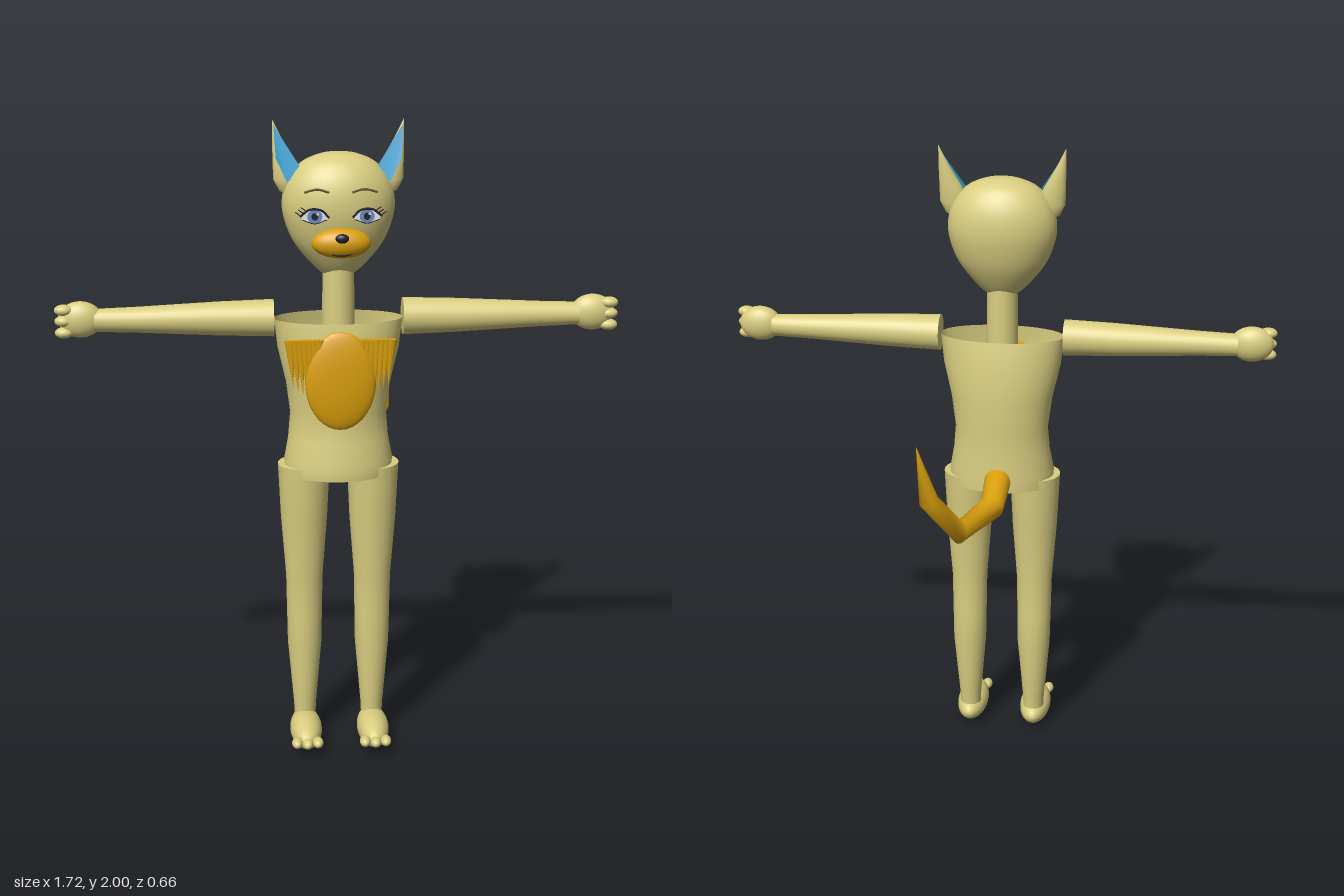
import * as THREE from 'three';

const V = (x, y, z) => new THREE.Vector3(x, y, z);
const paint = (name, color, double) => {
  const m = new THREE.MeshStandardMaterial({ color });
  m.name = name;
  if (double) m.side = THREE.DoubleSide;
  return m;
};

// Smooth skin through rings [centre, a, b], running along a x b
function loft(rings, caps = false, n = 28) {
  const pos = [], idx = [];
  const addRing = ([c, a, b]) => {
    for (let j = 0; j < n; j++) {
      const t = (j / n) * Math.PI * 2;
      const p = c.clone().addScaledVector(a, Math.cos(t)).addScaledVector(b, Math.sin(t));
      pos.push(p.x, p.y, p.z);
    }
  };
  rings.forEach(addRing);
  for (let i = 0; i < rings.length - 1; i++) {
    for (let j = 0; j < n; j++) {
      const k = (j + 1) % n, p = i * n, q = p + n;
      idx.push(p + j, p + k, q + k, p + j, q + k, q + j);
    }
  }
  if (caps) {
    [rings[0], rings[rings.length - 1]].forEach((r, e) => {
      const s = pos.length / 3;
      addRing(r);
      for (let j = 1; j < n - 1; j++) idx.push(s, s + (e ? j : j + 1), s + (e ? j + 1 : j));
    });
  }
  const g = new THREE.BufferGeometry();
  g.setAttribute('position', new THREE.Float32BufferAttribute(pos, 3));
  g.setIndex(idx);
  g.computeVertexNormals();
  return g;
}

// Upright ring: centre x, y, z and half widths in x and z
const level = (x, y, z, rx, rz) => [V(x, y, z), V(0, 0, rz), V(rx, 0, 0)];

export function createModel() {
  const model = new THREE.Group();
  model.name = 'standingFox';
  const tan = paint('tanFur', 0xd9cd80, true);
  const gold = paint('goldFur', 0xdaa00c);
  const blue = paint('earBlue', 0x2fa0d4, true);
  const white = paint('eyeWhite', 0xf2f2f2, true);
  const iris = paint('irisBlue', 0x6f8cc4, true);
  const black = paint('darkInk', 0x22202a, true);
  const brown = paint('browBrown', 0x6a5a3c);

  const add = (name, geo, mat, parent = model) => {
    const m = new THREE.Mesh(geo, mat);
    m.name = name;
    parent.add(m);
    return m;
  };
  const ball = (name, mat, x, y, z, rx, ry, rz) => {
    const m = add(name, new THREE.SphereGeometry(1, 28, 18), mat);
    m.position.set(x, y, z);
    m.scale.set(rx, ry, rz);
    return m;
  };
  const disc = (name, mat, x, y, z, rx, ry) => {
    const m = add(name, new THREE.CircleGeometry(1, 24), mat);
    m.position.set(x, y, z);
    m.scale.set(rx, ry, 1);
    return m;
  };
  const stroke = (name, mat, points, r) =>
    add(name, new THREE.TubeGeometry(new THREE.CatmullRomCurve3(points), 12, r, 6), mat);

  // Egg-shaped head
  const egg = new THREE.SplineCurve([[0, 1.53], [0.05, 1.54], [0.11, 1.6], [0.148, 1.66], [0.17, 1.74],
    [0.158, 1.815], [0.115, 1.872], [0.055, 1.9], [0, 1.906]].map(p => new THREE.Vector2(...p)));
  const profile = egg.getPoints(36).map(p => p.set(Math.max(p.x, 0), p.y));
  const head = add('head', new THREE.LatheGeometry(profile, 36), tan);
  head.scale.z = 0.69;
  head.position.z = 0.123;

  // Neck and torso, open at the shoulders
  add('neck', new THREE.CylinderGeometry(0.048, 0.05, 0.19, 28), tan).position.set(0, 1.465, 0.123);
  add('torso', loft([
    level(0, 0.905, 0.121, 0.166, 0.118), level(0, 0.95, 0.122, 0.169, 0.119),
    level(0, 1.02, 0.116, 0.156, 0.108), level(0, 1.1, 0.112, 0.149, 0.105),
    level(0, 1.2, 0.116, 0.162, 0.113), level(0, 1.31, 0.122, 0.187, 0.112),
    level(0, 1.4, 0.125, 0.197, 0.096)], false, 36), tan);

  // Chest patch
  ball('chestPatch', gold, 0, 1.227, 0.235, 0.108, 0.154, 0.027);

  // Muzzle, nose and mouth
  ball('muzzle', gold, 0, 1.656, 0.257, 0.088, 0.045, 0.042);
  ball('nose', black, 0, 1.678, 0.302, 0.02, 0.014, 0.012);
  stroke('mouth', black, [V(-0.034, 1.63, 0.283), V(0, 1.624, 0.289), V(0.034, 1.63, 0.283)], 0.003);

  for (const s of [1, -1]) {
    const side = s > 0 ? 'left' : 'right';

    // Ear with a coloured inner plate
    add(side + 'Ear', loft([
      level(s * 0.14, 1.775, 0.125, 0.004, 0.004), level(s * 0.147, 1.79, 0.125, 0.03, 0.019),
      level(s * 0.148, 1.825, 0.125, 0.047, 0.025), level(s * 0.163, 1.88, 0.121, 0.033, 0.02),
      level(s * 0.181, 1.94, 0.115, 0.016, 0.012), level(s * 0.196, 2.0, 0.11, 0.0005, 0.0005)]), tan);
    const inner = new THREE.BufferGeometry().setFromPoints(
      [V(s * 0.193, 1.985, 0.117), V(s * 0.107, 1.852, 0.148), V(s * 0.155, 1.82, 0.156), V(s * 0.187, 1.89, 0.146)]);
    inner.setIndex(s > 0 ? [0, 1, 2, 0, 2, 3] : [0, 2, 1, 0, 3, 2]);
    inner.computeVertexNormals();
    add(side + 'EarInner', inner, blue);

    // Eye, lashes and brow
    const ex = s * 0.077, ey = 1.733;
    disc(side + 'EyeWhite', white, ex, ey, 0.243, 0.04, 0.021);
    disc(side + 'Iris', iris, ex, ey, 0.2445, 0.022, 0.021);
    disc(side + 'Pupil', black, ex, ey, 0.246, 0.01, 0.011);
    disc(side + 'EyeGlint', white, ex + 0.008, ey + 0.008, 0.247, 0.004, 0.004);
    stroke(side + 'UpperLid', black,
      [V(ex - s * 0.042, ey - 0.004, 0.243), V(ex - s * 0.02, ey + 0.018, 0.244),
        V(ex + s * 0.015, ey + 0.021, 0.244), V(ex + s * 0.044, ey, 0.243)], 0.0035);
    stroke(side + 'LowerLid', black,
      [V(ex - s * 0.035, ey - 0.01, 0.243), V(ex, ey - 0.021, 0.244), V(ex + s * 0.036, ey - 0.01, 0.243)], 0.0015);
    for (let i = 0; i < 3; i++) {
      const x = ex + s * (0.026 + i * 0.008), y = ey + 0.017 - i * 0.007;
      stroke(side + 'Lash', black, [V(x, y, 0.243), V(x + s * 0.015, y + 0.011, 0.246)], 0.0016);
    }
    stroke(side + 'Brow', brown,
      [V(s * 0.034, 1.803, 0.238), V(s * 0.07, 1.812, 0.237), V(s * 0.108, 1.803, 0.235)], 0.0035);

    // Fringe of pointed tufts beside the chest patch
    for (let i = 0; i < 7; i++) {
      const bottom = 1.14 + i * 0.012, h = 1.357 - bottom;
      const tuft = add(side + 'ChestTuft', new THREE.ConeGeometry(0.017, h, 12), gold);
      tuft.rotation.x = Math.PI;
      tuft.position.set(s * (0.06 + i * 0.0147), 1.357 - h / 2, 0.238);
      tuft.scale.z = 0.6;
      tuft.rotation.z = s * 0.06;
    }

    // Arm, palm and fingers
    const arm = [[0.197, 0.057], [0.36, 0.052], [0.5, 0.045], [0.62, 0.039], [0.74, 0.035]].map(([x, r]) => {
      const up = V(0, r, 0), front = V(0, 0, r);
      return [V(s * x, 1.4, 0.12), ...(s > 0 ? [up, front] : [front, up])];
    });
    add(side + 'Arm', loft(arm, true), tan);
    ball(side + 'Palm', tan, s * 0.783, 1.404, 0.122, 0.068, 0.056, 0.038);
    for (const y of [1.367, 1.403, 1.437])
      ball(side + 'Finger', tan, s * 0.832, y, 0.137, 0.028, 0.017, 0.022);

    // Leg, foot and toes
    const lx = s * 0.108;
    add(side + 'Leg', loft([
      level(lx, 0.08, 0.127, 0.034, 0.036), level(lx, 0.12, 0.127, 0.036, 0.038),
      level(lx, 0.33, 0.12, 0.054, 0.055), level(lx, 0.44, 0.122, 0.056, 0.053),
      level(lx, 0.56, 0.125, 0.058, 0.05), level(lx, 0.76, 0.125, 0.073, 0.069),
      level(lx, 0.935, 0.124, 0.081, 0.082)], true), tan);
    ball(side + 'Foot', tan, lx, 0.052, 0.188, 0.051, 0.049, 0.118);
    for (const d of [-0.033, 0, 0.033])
      ball(side + 'Toe', tan, lx + d, 0.053, d ? 0.297 : 0.304, 0.017, 0.016, 0.026);
  }

  // Bent tail tapering to a point
  const path = [V(0, 0.945, 0.02), V(0, 0.907, -0.115), V(0.085, 0.868, -0.235),
    V(0.168, 0.995, -0.3), V(0.2, 1.175, -0.318)];
  const radii = [0.043, 0.039, 0.036, 0.031, 0.001];
  const rings = path.map((p, i) => {
    const t = path[Math.min(i + 1, 4)].clone().sub(path[Math.max(i - 1, 0)]).normalize();
    const a = V(1, 0, 0).cross(t).normalize();
    return [p, a.clone().multiplyScalar(radii[i]), t.clone().cross(a).multiplyScalar(radii[i])];
  });
  add('tail', loft(rings, true, 16), gold);

  return model;
}
